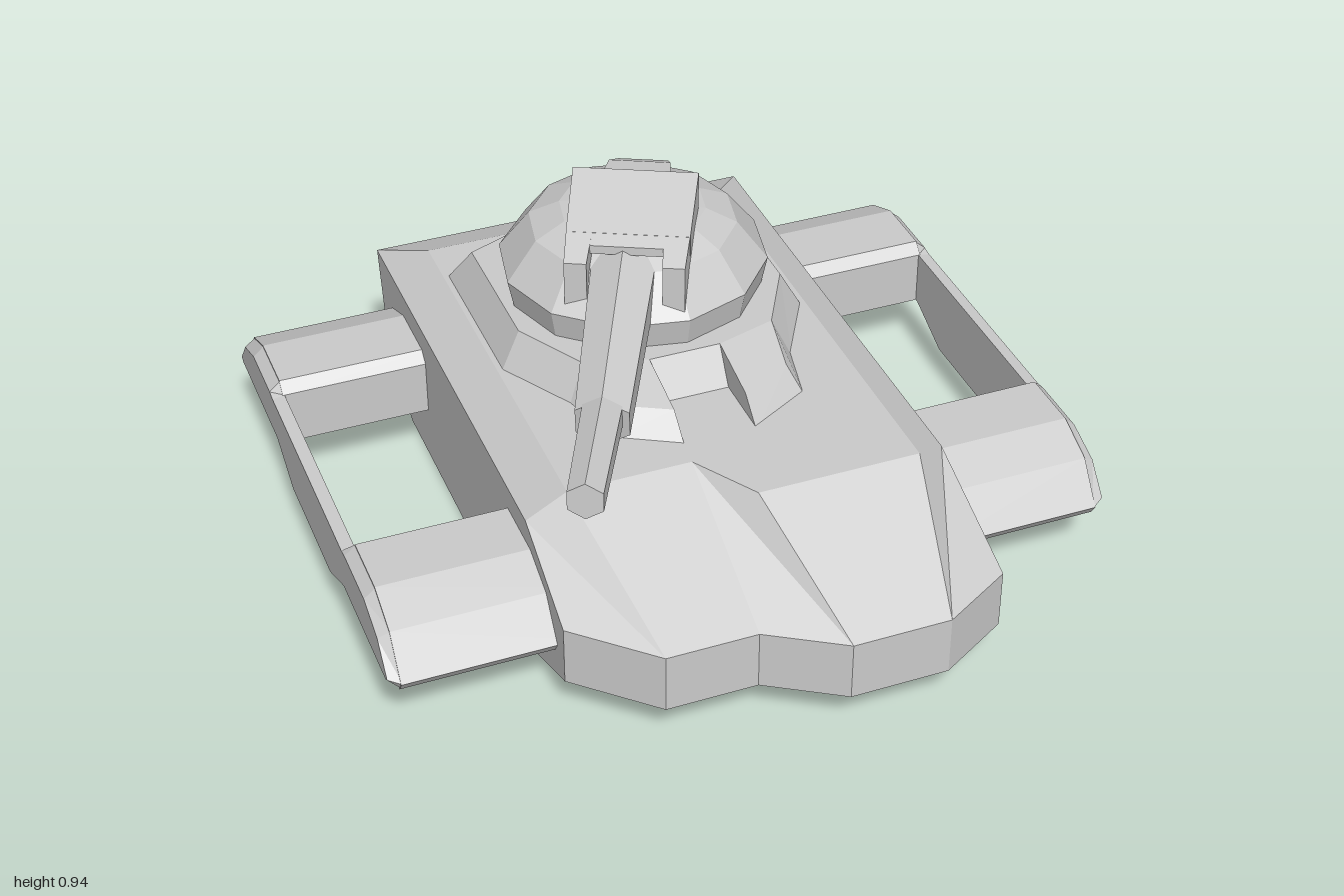
import * as THREE from 'three';

const grey = new THREE.MeshStandardMaterial({ color: 0xcccccc, flatShading: true, side: THREE.DoubleSide });

function mesh(name, geometry) {
  const m = new THREE.Mesh(geometry, grey);
  m.name = name;
  return m;
}

function fromTriangles(tris) {
  const g = new THREE.BufferGeometry();
  g.setAttribute('position', new THREE.Float32BufferAttribute(tris.flat(2), 3));
  g.computeVertexNormals();
  return g;
}

// Flat polygons, each fanned from its first corner
function fan(faces) {
  const tris = [];
  for (const f of faces) for (let i = 1; i < f.length - 1; i++) tris.push([f[0], f[i], f[i + 1]]);
  return fromTriangles(tris);
}

// Closed solid between two matching rings; u and v are the axes of the cap plane
function loft(a, b, u, v) {
  const tris = [], n = a.length;
  for (let i = 0; i < n; i++) {
    const j = (i + 1) % n;
    tris.push([a[i], a[j], b[j]], [a[i], b[j], b[i]]);
  }
  for (const ring of [a, b]) {
    const flat = ring.map(p => new THREE.Vector2(p[u], p[v]));
    const sign = Math.sign(THREE.ShapeUtils.area(flat));
    for (const f of THREE.ShapeUtils.triangulateShape(flat, [])) {
      const same = Math.sign(THREE.ShapeUtils.area(f.map(i => flat[i]))) === sign;
      const t = f.map(i => ring[i]);
      tris.push(same === (ring === b) ? t : t.reverse());
    }
  }
  // Turn the solid outward if its signed volume is negative
  let volume = 0;
  for (const t of tris) {
    const [p, q, r] = t.map(c => new THREE.Vector3(...c));
    volume += p.dot(q.cross(r));
  }
  if (volume < 0) tris.forEach(t => t.reverse());
  return fromTriangles(tris);
}

// Hull with its offset, asymmetrical nose
function createHull() {
  const hull = new THREE.Group();
  hull.name = 'hull';
  const nose = [[-0.56, 0.67], [-0.36, 0.86], [-0.11, 0.86], [0.09, 0.985], [0.36, 0.985], [0.56, 0.87]];
  const N = nose.map(([x, z]) => [x, 0.29, z]);
  const B = nose.map(([x, z]) => [x, 0.12, z]);
  const T = [[-0.45, 0.4], [-0.11, 0.4], [0, 0.58], [0.45, 0.58], [0.45, -0.79], [-0.45, -0.79]]
    .map(([x, z]) => [x, 0.5, z]);
  const sideL = [0.56, 0.43, 0.49], sideR = [-0.56, 0.43, 0.39];
  const rearL = [0.56, 0.43, -0.95], rearR = [-0.56, 0.43, -0.95];
  const lowL = [0.56, 0.12, -0.89], lowR = [-0.56, 0.12, -0.89];
  const faces = [
    [T[4], T[5], T[0], T[1], T[2], T[3]],
    [T[0], N[1], N[2], T[1]], [T[1], N[2], N[3]], [T[1], N[3], T[2]], [T[2], N[3], N[4], T[3]],
    [T[3], N[4], sideL], [sideL, N[4], N[5]], [sideR, N[1], T[0]], [sideR, N[0], N[1]],
    [T[3], sideL, rearL, T[4]], [T[4], rearL, rearR, T[5]], [T[5], rearR, sideR, T[0]],
    [N[5], B[5], lowL, rearL, sideL], [sideR, rearR, lowR, B[0], N[0]],
    [lowR, lowL, ...[...B].reverse()],
  ];
  for (let i = 0; i < 5; i++) faces.push([N[i], B[i], B[i + 1], N[i + 1]]);
  hull.add(mesh('hullBody', fan(faces)));

  // Two bevelled rear plates and two track runs
  for (const s of [1, -1]) {
    const frame = [[0, 0.43, -0.95], [0.56 * s, 0.43, -0.95], [0.56 * s, 0.12, -0.89], [0, 0.12, -0.89]];
    const plate = [[0.1 * s, 0.36, -0.99], [0.47 * s, 0.36, -0.99], [0.47 * s, 0.16, -0.95], [0.1 * s, 0.16, -0.95]];
    hull.add(mesh('rearPlate', loft(frame, plate, 0, 1)));

    const [inner, outer] = s > 0 ? [0.98, 0.87] : [0.86, 0.67];
    const ring = (y, cutFront, rear) => [
      [0.35 * s, y, inner - cutFront], [0.56 * s, y, outer - cutFront], [0.56 * s, y, rear], [0.35 * s, y, rear]];
    hull.add(mesh('trackRun', loft(ring(0.12, 0, -0.89), ring(0, 0.29, -0.68), 0, 2)));
  }
  return hull;
}

// Side pods joined by an outer skirt, one set per side
function createOutrigger(s) {
  const group = new THREE.Group();
  group.name = s > 0 ? 'leftOutrigger' : 'rightOutrigger';
  const at = (x, pts) => pts.map(([z, y]) => [x * s, y, z]);
  const front = [[0.6, 0.17], [0.62, 0.2], [0.54, 0.31], [0.42, 0.36], [0.24, 0.36], [0.21, 0.33], [0.21, 0.17]];
  const rear = front.map(([z, y]) => [-0.28 - z, y]);
  group.add(mesh('frontPod', loft(at(0.5, front), at(0.97, front), 2, 1)));
  group.add(mesh('rearPod', loft(at(0.5, rear), at(0.97, rear), 2, 1)));
  // Half outlines of the skirt, mirrored about its middle at z = -0.14
  const whole = half => [...half, ...half.map(([z, y]) => [-0.28 - z, y]).reverse()];
  const inside = whole([[0.04, 0.1], [0.2, 0.17], ...front.slice(0, 6)]);
  const outside = whole([[0.05, 0.13], [0.2, 0.2], [0.585, 0.2], [0.6, 0.21], [0.53, 0.29],
    [0.42, 0.33], [0.24, 0.33], [0.21, 0.325]]);
  group.add(mesh('skirt', loft(at(0.965, inside), at(1, outside), 2, 1)));
  return group;
}

// Notched, sloped plinth under the turret
function createPlinth() {
  const mirrored = half => [...half, ...half.map(([x, y, z]) => [-x, y, z]).reverse()];
  const low = [[0.1, 0.14], [0.1, 0.33], [0.28, 0.23], [0.32, 0.05], [0.44, -0.16], [0.44, -0.65], [0.13, -0.79]]
    .map(([x, z]) => [x, 0.49, z]);
  const high = [[0.1, 0.6, 0.07], [0.1, 0.56, 0.25], [0.25, 0.56, 0.17], [0.27, 0.6, 0.02],
    [0.38, 0.6, -0.18], [0.38, 0.6, -0.59], [0.09, 0.6, -0.71]];
  return mesh('turretPlinth', loft(mirrored(low), mirrored(high), 0, 2));
}

// Block along z with its own width, floor and roof at each end
function wedge(name, [z0, w0, b0, t0], [z1, w1, b1, t1], x = 0) {
  const end = (z, w, b, t) => [[x - w, b, z], [x + w, b, z], [x + w, t, z], [x - w, t, z]];
  return mesh(name, loft(end(z0, w0, b0, t0), end(z1, w1, b1, t1), 0, 1));
}

// Six-sided tapered tube between two points [y, z]
function hexTube(name, [y0, z0], r0, [y1, z1], r1) {
  const d = new THREE.Vector3(0, y1 - y0, z1 - z0);
  const m = mesh(name, new THREE.CylinderGeometry(r1, r0, d.length(), 6));
  m.position.set(0, (y0 + y1) / 2, (z0 + z1) / 2);
  m.quaternion.setFromUnitVectors(new THREE.Vector3(0, 1, 0), d.normalize());
  return m;
}

function createTurret() {
  const turret = new THREE.Group();
  turret.name = 'turret';
  const profile = [[0.35, 0.58], [0.37, 0.68], [0.285, 0.79], [0.2, 0.83], [0, 0.85]]
    .map(p => new THREE.Vector2(...p));
  turret.add(mesh('dome', new THREE.LatheGeometry(profile, 12)));
  // Gun housing with an open front between two cheeks
  turret.add(wedge('gunHousing', [0, 0.17, 0.68, 0.94], [0.21, 0.165, 0.66, 0.87], 0.01));
  turret.add(wedge('housingLip', [0.2, 0.16, 0.83, 0.873], [0.25, 0.16, 0.83, 0.855], 0.01));
  for (const s of [1, -1]) {
    turret.add(wedge('housingCheek', [0.2, 0.035, 0.66, 0.873], [0.31, 0.03, 0.65, 0.835], 0.01 + 0.13 * s));
  }
  turret.add(wedge('rearFairing', [-0.3, 0.07, 0.74, 0.79], [-0.2, 0.085, 0.74, 0.845]));
  turret.add(wedge('rearFairing', [-0.2, 0.085, 0.74, 0.845], [0.01, 0.11, 0.74, 0.87]));
  // Gun
  turret.add(hexTube('gunSleeve', [0.755, 0.18], 0.1, [0.66, 0.76], 0.08));
  turret.add(hexTube('gunBarrel', [0.68, 0.7], 0.06, [0.7, 1.13], 0.052));
  turret.position.z = -0.32;
  turret.rotation.y = -0.46;
  return turret;
}

export function createModel() {
  const model = new THREE.Group();
  model.name = 'tank';
  model.add(createHull(), createOutrigger(1), createOutrigger(-1), createPlinth(), createTurret());
  return model;
}
